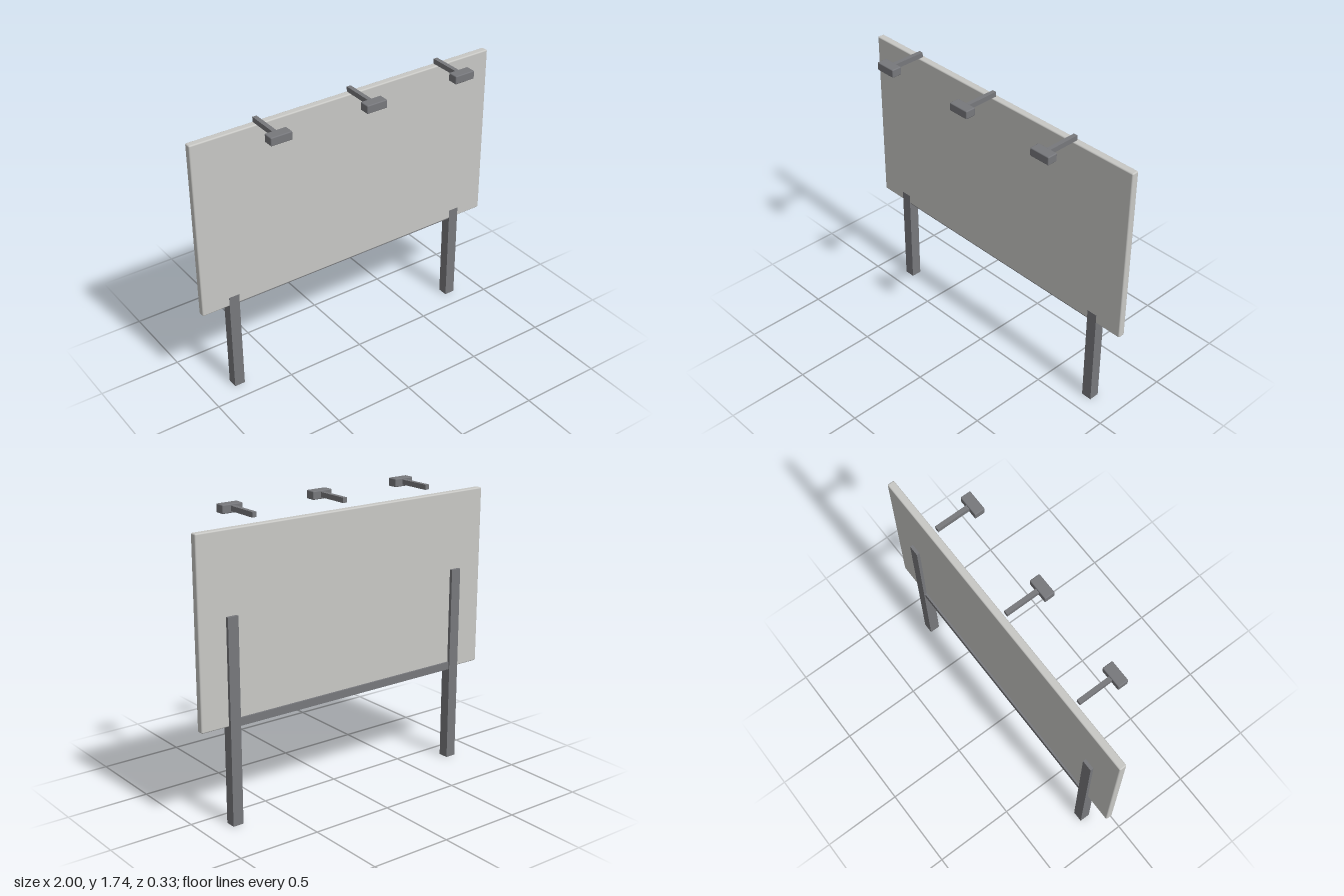
import * as THREE from 'three';
import { RoundedBoxGeometry } from 'three/addons/geometries/RoundedBoxGeometry.js';

const panelGrey = new THREE.MeshStandardMaterial({ color: 0xc8c8c5 });
panelGrey.name = 'panel grey';
const steelGrey = new THREE.MeshStandardMaterial({ color: 0x77787c });
steelGrey.name = 'steel grey';

// Box given by its extents on each axis; a bevel radius softens the edges
function block(parent, name, material, [x0, x1], [y0, y1], [z0, z1], bevel = 0) {
  const size = [x1 - x0, y1 - y0, z1 - z0];
  const geometry = bevel
    ? new RoundedBoxGeometry(...size, 2, bevel)
    : new THREE.BoxGeometry(...size);
  const mesh = new THREE.Mesh(geometry, material);
  mesh.name = name;
  mesh.position.set((x0 + x1) / 2, (y0 + y1) / 2, (z0 + z1) / 2);
  parent.add(mesh);
}

export function createModel() {
  const billboard = new THREE.Group();
  billboard.name = 'billboard';

  // Display panel
  block(billboard, 'panel', panelGrey, [-1, 1], [0.588, 1.68], [-0.148, -0.104], 0.008);

  // Posts: full depth up to the panel's lower edge, then only behind it
  for (const [side, x] of [['right', -0.795], ['left', 0.795]]) {
    const post = new THREE.Group();
    post.name = `${side}Post`;
    const width = [x - 0.033, x + 0.033];
    block(post, 'lowerPost', steelGrey, width, [0, 0.645], [-0.167, -0.103]);
    block(post, 'upperPost', steelGrey, width, [0.645, 1.21], [-0.167, -0.12]);
    billboard.add(post);
  }

  // Rail joining the posts under the panel
  block(billboard, 'crossRail', steelGrey, [-0.78, 0.78], [0.582, 0.628], [-0.16, -0.11]);

  // Lamps reaching forward above the panel
  for (const x of [-0.605, 0, 0.605]) {
    const lamp = new THREE.Group();
    lamp.name = 'lamp';
    lamp.position.x = x;
    block(lamp, 'lampArm', steelGrey, [-0.013, 0.013], [1.705, 1.735], [-0.102, 0.12]);
    block(lamp, 'lampHead', steelGrey, [-0.066, 0.066], [1.694, 1.744], [0.103, 0.167], 0.006);
    billboard.add(lamp);
  }

  return billboard;
}
